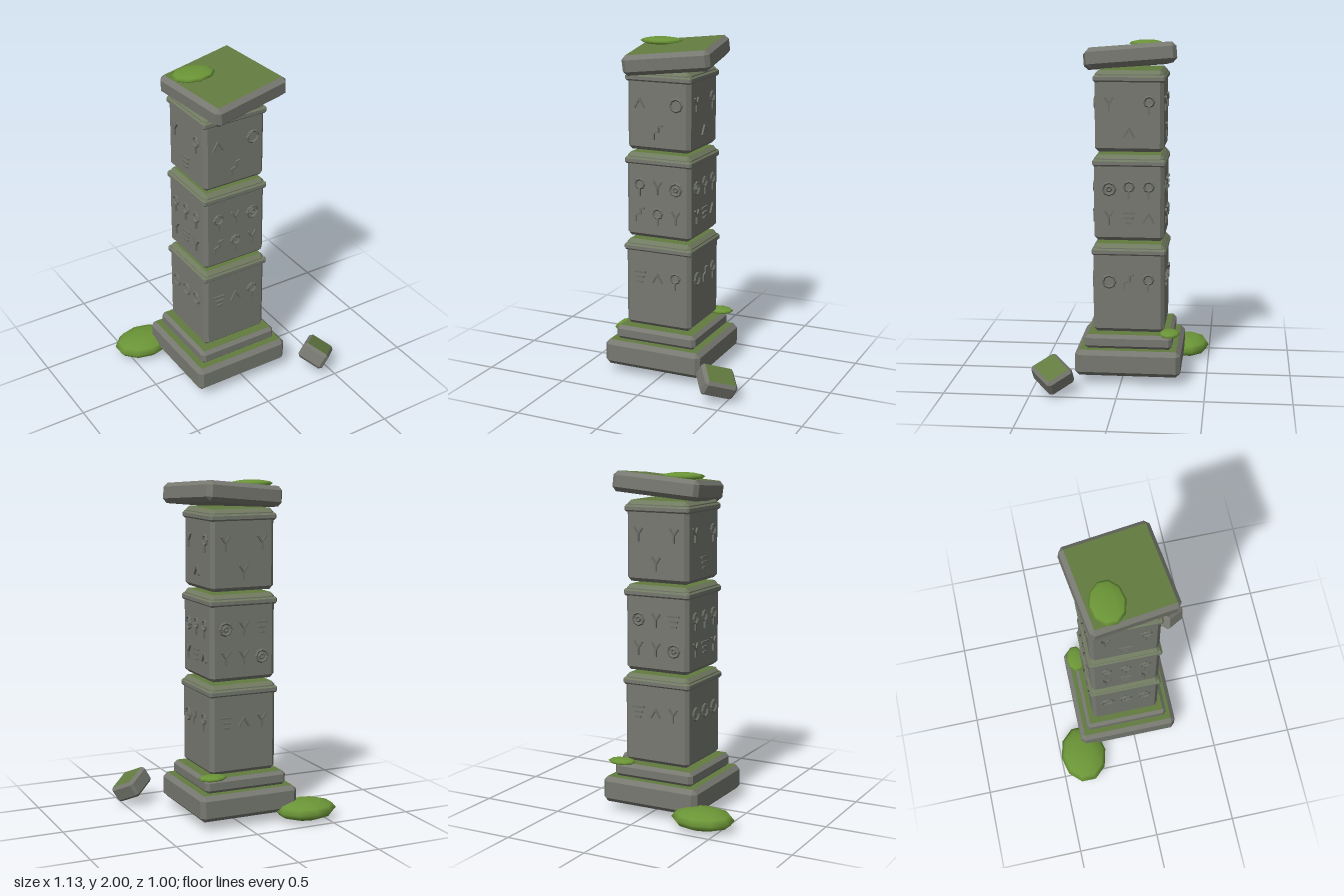
import * as THREE from 'three';
import { ConvexGeometry } from 'three/addons/geometries/ConvexGeometry.js';

const mat = (name, color) => {
  const m = new THREE.MeshStandardMaterial({ color });
  m.name = name;
  return m;
};

// Box with every edge bevelled; material groups: 0 sides, 1 upper bevel, 2 flat top
function bevelBox(w, h, d, c) {
  const pts = [];
  for (const x of [-1, 1]) for (const y of [-1, 1]) for (const z of [-1, 1]) {
    for (let axis = 0; axis < 3; axis++) {
      const half = [w / 2, h / 2, d / 2].map((v, i) => (i === axis ? v : v - c));
      pts.push(new THREE.Vector3(x * half[0], y * half[1], z * half[2]));
    }
  }
  const src = new ConvexGeometry(pts);
  const pos = src.attributes.position, nor = src.attributes.normal;
  const bins = [[], [], []];
  for (let i = 0; i < pos.count; i += 3) {
    const up = nor.getY(i);
    bins[up > 0.95 ? 2 : up > 0.3 ? 1 : 0].push(i, i + 1, i + 2);
  }
  src.setIndex(bins.flat());
  let start = 0;
  bins.forEach((b, i) => { src.addGroup(start, b.length, i); start += b.length; });
  return src;
}

export function createModel() {
  const model = new THREE.Group();
  model.name = 'ruinedPillar';
  const stone = mat('stone', 0x777971);
  const mossyStone = mat('mossyStone', 0x717b60);
  const moss = mat('flatMoss', 0x627b40);
  const clumpMoss = mat('mossClump', 0x6b9537);
  const carving = mat('carving', 0x6c6e67);
  const CX = -0.03, CZ = -0.042;

  const add = (parent, name, geo, material, x, y, z) => {
    const m = new THREE.Mesh(geo, material);
    m.name = name;
    m.position.set(x, y, z);
    parent.add(m);
    return m;
  };
  const slab = (name, w, y0, y1, c, mats) =>
    add(model, name, bevelBox(w, y1 - y0, w, c), mats, CX, (y0 + y1) / 2, CZ);

  // Stepped base
  slab('base', 0.62, 0.053, 0.207, 0.026, [stone, stone, moss]);
  slab('baseStep', 0.515, 0.205, 0.29, 0.02, [stone, stone, moss]);

  // Carved signs, drawn in the xy plane
  const stroke = (g, x0, y0, x1, y1) => {
    const len = Math.hypot(x1 - x0, y1 - y0);
    const m = add(g, 'stroke', new THREE.BoxGeometry(len + 0.006, 0.01, 0.022), carving, (x0 + x1) / 2, (y0 + y1) / 2, 0);
    m.rotation.z = Math.atan2(y1 - y0, x1 - x0);
  };
  const ring = (g, r, y, sides = 8) => {
    const geo = new THREE.TorusGeometry(r, 0.008, 4, sides).toNonIndexed();
    geo.computeVertexNormals();
    add(g, 'ring', geo, carving, 0, y, 0.002);
  };
  const signs = {
    caret: g => { stroke(g, -0.03, -0.025, 0, 0.025); stroke(g, 0, 0.025, 0.03, -0.025); },
    fork: g => { stroke(g, 0, -0.04, 0, 0); stroke(g, 0, 0, -0.025, 0.036); stroke(g, 0, 0, 0.025, 0.036); },
    bars: g => [0.034, 0.024, 0.016].forEach((w, i) => stroke(g, -w, 0.03 - i * 0.03, w, 0.03 - i * 0.03)),
    zigzag: g => {
      stroke(g, -0.025, -0.04, -0.025, -0.005); stroke(g, -0.025, -0.005, 0.005, 0.005);
      stroke(g, 0.005, 0.005, 0.005, 0.035); stroke(g, 0.005, 0.035, 0.028, 0.04);
    },
    stem: g => { ring(g, 0.028, 0.015); stroke(g, 0, -0.015, 0, -0.055); },
    ring: g => ring(g, 0.036, 0),
    target: g => { ring(g, 0.036, 0); ring(g, 0.013, 0, 6); },
  };

  // Blocks: rows of signs for the front, right, back and left faces
  const blocks = [
    { name: 'lowerBlock', w: 0.418, y0: 0.298, y1: 0.828, rows: [0.605], faces: [
      [['bars', 'caret', 'stem']], [['ring', 'zigzag', 'stem']],
      [['bars', 'caret', 'fork']], [['ring', 'ring', 'ring']]] },
    { name: 'middleBlock', w: 0.408, y0: 0.848, y1: 1.352, rows: [1.155, 0.985], faces: [
      [['stem', 'fork', 'target'], ['zigzag', 'stem', 'fork']],
      [['target', 'stem', 'stem'], ['fork', 'bars', 'caret']],
      [['target', 'fork', 'bars'], ['fork', 'fork', 'target']],
      [['stem', 'stem', 'stem'], ['fork', 'bars', 'fork']]] },
    { name: 'upperBlock', w: 0.398, y0: 1.369, y1: 1.836, rows: [1.645, 1.48], faces: [
      [['caret', '', 'ring'], ['', 'zigzag', '']], [['fork', '', 'stem'], ['', 'caret', '']],
      [['fork', '', 'fork'], ['', 'fork', '']], [['fork', '', 'stem'], ['', 'bars', '']]] },
  ];
  for (const b of blocks) {
    slab(b.name, b.w, b.y0, b.y1, 0.022, [stone, mossyStone, moss]);
    slab(b.name + 'Rim', b.w + 0.018, b.y1 - 0.068, b.y1 - 0.026, 0.011, [stone, mossyStone, mossyStone]);
    b.faces.forEach((rows, side) => {
      const face = new THREE.Group();
      face.name = b.name + 'Carvings';
      face.position.set(CX, 0, CZ);
      face.rotation.y = side * Math.PI / 2;
      model.add(face);
      rows.forEach((row, r) => row.forEach((key, col) => {
        if (!key) return;
        const g = new THREE.Group();
        g.name = key + 'Sign';
        g.position.set((col - 1) * 0.115, b.rows[r], b.w / 2);
        signs[key](g);
        face.add(g);
      }));
    });
  }

  // Tilted capstone
  const cap = add(model, 'capstone', bevelBox(0.515, 0.118, 0.515, 0.025), [stone, stone, moss], 0.005, 1.906, -0.025);
  cap.rotation.set(0.085, 0.16, 0.085, 'XZY');

  // Fallen stone lying on its edge
  const u = new THREE.Vector3(0.70, -0.31, -0.643).normalize();
  const n = new THREE.Vector3(0.488, 0.87, 0.11);
  const v = new THREE.Vector3().crossVectors(u, n).normalize();
  n.crossVectors(v, u);
  const rock = add(model, 'fallenStone', bevelBox(0.205, 0.108, 0.172, 0.018), [stone, stone, moss], 0.44, 0.115, 0.372);
  rock.quaternion.setFromRotationMatrix(new THREE.Matrix4().makeBasis(u, n, v));

  // Moss clumps
  const ball = new THREE.SphereGeometry(1, 10, 6).rotateY(Math.PI / 2);
  const clump = (name, x, y, z, rx, ry, rz) => add(model, name, ball, clumpMoss, x, y, z).scale.set(rx, ry, rz);
  clump('groundMoss', -0.39, 0.06, -0.355, 0.189, 0.06, 0.145);
  clump('capMoss', -0.135, 1.972, -0.118, 0.132, 0.022, 0.101);
  clump('stepMoss', 0.182, 0.298, -0.283, 0.086, 0.018, 0.061);

  return model;
}
